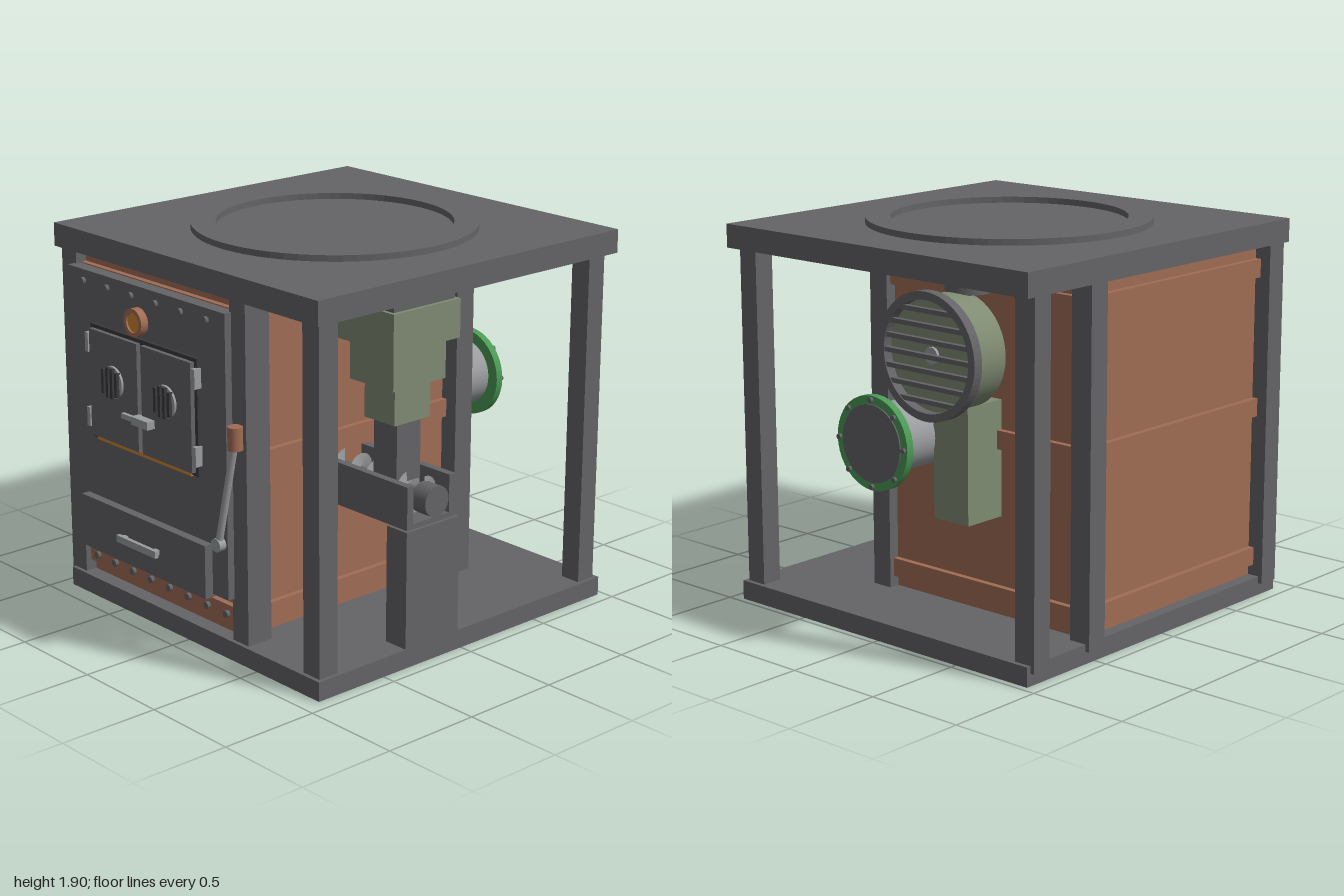
import * as THREE from 'three';

const mat = (name, color, side = THREE.FrontSide) => {
  const m = new THREE.MeshStandardMaterial({ color, side });
  m.name = name;
  return m;
};

export function createModel() {
  const root = new THREE.Group();
  root.name = 'furnace';
  const iron = mat('iron grey', 0x646467);
  const dark = mat('dark iron', 0x3a3a3c);
  const steel = mat('pale steel', 0x9c9da0, THREE.DoubleSide);
  const copper = mat('copper brown', 0xa06c54);
  const sage = mat('sage green', 0x7f8b72);
  const green = mat('bright green', 0x4b9a56);
  const amber = mat('amber', 0xcc8430);

  const add = (name, geo, m, x = 0, y = 0, z = 0) => {
    const mesh = new THREE.Mesh(geo, m);
    mesh.name = name;
    mesh.position.set(x, y, z);
    root.add(mesh);
    return mesh;
  };
  // Box given by its limits on each axis
  const box = (name, m, x0, x1, y0, y1, z0, z1) =>
    add(name, new THREE.BoxGeometry(x1 - x0, y1 - y0, z1 - z0), m, (x0 + x1) / 2, (y0 + y1) / 2, (z0 + z1) / 2);
  // Cylinder lying along z, between z0 and z1
  const discZ = (name, m, r, x, y, z0, z1, n = 32) =>
    add(name, new THREE.CylinderGeometry(r, r, z1 - z0, n).rotateX(Math.PI / 2), m, x, y, (z0 + z1) / 2);
  const discY = (name, m, r, x, y0, y1, z, n = 32) =>
    add(name, new THREE.CylinderGeometry(r, r, y1 - y0, n), m, x, (y0 + y1) / 2, z);
  // Flat ring with depth along z
  const ring = (outer, inner, depth) => {
    const s = new THREE.Shape().absarc(0, 0, outer, 0, Math.PI * 2, false);
    s.holes.push(new THREE.Path().absarc(0, 0, inner, 0, Math.PI * 2, true));
    return new THREE.ExtrudeGeometry(s, { depth, bevelEnabled: false, curveSegments: 32 });
  };

  // Frame
  box('basePlate', iron, -0.933, 0.933, 0, 0.095, -0.968, 0.9);
  box('topPlate', iron, -0.954, 0.954, 1.76, 1.875, -0.99, 0.922);
  add('topRing', ring(0.69, 0.57, 0.03).rotateX(-Math.PI / 2), iron, 0, 1.875, -0.038);
  for (const [x0, x1, z0, z1] of [
    [-0.954, -0.84, 0.77, 0.88], [0.31, 0.42, 0.74, 0.88], [0.805, 0.913, 0.77, 0.88],
    [-0.954, -0.84, -0.565, -0.455], [0.31, 0.42, -0.565, -0.455],
    [-0.954, -0.84, -0.945, -0.84], [0.805, 0.913, -0.945, -0.84],
  ]) box('post', iron, x0, x1, 0.06, 1.765, z0, z1);

  // Boiler body with raised bands
  box('body', copper, -0.87, 0.325, 0.095, 1.74, -0.51, 0.82);
  for (const y of [0.195, 0.955, 1.645]) box('band', copper, -0.9, 0.355, y - 0.045, y + 0.045, -0.54, 0.85);
  const rivet = (x, y, z) => discZ('rivet', iron, 0.018, x, y, z, z + 0.018, 12);
  for (let i = 0; i < 8; i++) rivet(-0.77 + i * 0.1437, 0.195, 0.85);

  // Front panel, gauge and ash drawer
  box('frontPanel', iron, -0.857, 0.323, 0.305, 1.685, 0.85, 0.917);
  for (let i = 0; i < 6; i++) rivet(-0.73 + i * 0.185, 1.63, 0.917);
  add('gaugeRim', ring(0.068, 0.048, 0.04), copper, -0.267, 1.53, 0.945);
  discZ('gaugeFace', amber, 0.05, -0.267, 1.53, 0.945, 0.975);
  discZ('gaugeStem', copper, 0.025, -0.267, 1.53, 0.91, 0.95, 16);
  box('ashDrawer', iron, -0.744, 0.21, 0.29, 0.555, 0.88, 0.962);
  box('drawerHandle', steel, -0.42, -0.118, 0.405, 0.44, 0.98, 1);
  for (const x of [-0.39, -0.148]) box('handleMount', steel, x - 0.015, x + 0.015, 0.41, 0.435, 0.96, 0.982);

  // Fire doors
  box('doorFrame', dark, -0.67, 0.138, 0.867, 1.436, 0.91, 0.932);
  box('fireGlow', amber, -0.63, 0.09, 0.86, 0.882, 0.912, 0.937);
  for (const s of [-1, 1]) {
    const cx = -0.267 + s * 0.2;
    box('fireDoor', iron, cx - 0.185, cx + 0.185, 0.885, 1.418, 0.925, 0.955);
    for (const y of [0.97, 1.345]) {
      const hx = -0.267 + s * 0.405;
      box('hinge', steel, hx - 0.012, hx + 0.012, y - 0.048, y + 0.048, 0.915, 0.957);
    }
    discZ('ventDisc', steel, 0.08, cx, 1.19, 0.95, 0.967);
    for (let i = 0; i < 4; i++) {
      const h = i % 3 ? 0.075 : 0.06, bx = cx + (i - 1.5) * 0.034;
      box('ventBar', dark, bx - 0.009, bx + 0.009, 1.19 - h, 1.19 + h, 0.96, 0.983);
    }
  }
  box('latchBar', steel, -0.375, -0.155, 1.04, 1.065, 0.965, 0.985);
  box('latchCatch', steel, -0.28, -0.155, 1.035, 1.075, 0.95, 1);

  // Lever
  const a = new THREE.Vector3(0.28, 0.577, 0.935), b = new THREE.Vector3(0.378, 1.08, 0.915);
  add('leverRod', new THREE.TubeGeometry(new THREE.LineCurve3(a, b), 1, 0.018, 12), steel);
  discZ('leverPivot', steel, 0.033, 0.28, 0.577, 0.91, 0.955, 20);
  discY('leverGrip', copper, 0.036, 0.381, 1.06, 1.17, 0.912, 16);

  // Fuel hopper of stepped boxes
  const hx = 0.687, hz = 0.195;
  for (const [name, m, w, d, y0, y1] of [
    ['hopperLip', iron, 0.17, 0.19, 1.7, 1.728], ['hopperTop', sage, 0.19, 0.209, 1.515, 1.7],
    ['hopperMiddle', sage, 0.144, 0.165, 1.32, 1.515], ['hopperBottom', sage, 0.1, 0.113, 1.135, 1.32],
    ['hopperChute', iron, 0.077, 0.075, 0.84, 1.135],
  ]) box(name, m, hx - w, hx + w, y0, y1, hz - d, hz + d);

  // Feed trough with screw, motor and pedestal
  box('troughFloor', iron, 0.32, 0.92, 0.675, 0.7, 0.045, 0.35);
  for (const z of [0.045, 0.312]) box('troughSide', iron, 0.32, 0.92, 0.68, 0.885, z, z + 0.038);
  box('pedestal', iron, 0.8, 0.932, 0.09, 0.672, 0.025, 0.363);
  const discX = (name, r, x0, x1) =>
    add(name, new THREE.CylinderGeometry(r, r, x1 - x0, 24).rotateZ(Math.PI / 2), iron, (x0 + x1) / 2, 0.79, hz);
  discX('screwShaft', 0.035, 0.32, 0.9);
  discX('motor', 0.075, 0.86, 0.954);
  const flight = new THREE.PlaneGeometry(1, 1, 96, 1);
  const p = flight.attributes.position;
  for (let i = 0; i < p.count; i++) {
    const t = p.getX(i) + 0.5, r = p.getY(i) > 0 ? 0.1 : 0.03, ang = t * Math.PI * 10;
    p.setXYZ(i, 0.33 + t * 0.54, 0.79 + Math.cos(ang) * r, hz + Math.sin(ang) * r);
  }
  flight.computeVertexNormals();
  add('screwFlight', flight, steel);

  // Blower with grille, duct and flue on the back
  const fx = -0.262, fy = 1.39;
  discZ('blowerHousing', sage, 0.27, fx, fy, -0.85, -0.66, 48);
  add('grilleRing', ring(0.3, 0.262, 0.05), iron, fx, fy, -0.9);
  for (let i = -3; i <= 3; i++) {
    const y = i * 0.07, w = Math.sqrt(0.275 ** 2 - y * y);
    box('grilleBar', iron, fx - w, fx + w, fy + y - 0.011, fy + y + 0.011, -0.895, -0.87);
  }
  discZ('blowerHub', steel, 0.04, fx, fy, -0.865, -0.845, 20);
  box('blowerDuct', sage, -0.37, -0.155, 0.58, 1.142, -0.738, -0.5);
  discY('flue', iron, 0.11, fx, 1.65, 1.765, -0.61);

  // Outlet pipe with bolted flange and valve
  discZ('outletPipe', steel, 0.165, 0, 0.965, -0.95, -0.5, 40);
  discZ('flange', green, 0.225, 0, 0.96, -0.985, -0.945, 40);
  discZ('flangeCover', iron, 0.185, 0, 0.96, -0.992, -0.98, 40);
  for (let i = 0; i < 8; i++) {
    const t = i * Math.PI / 4;
    discZ('flangeBolt', iron, 0.013, Math.cos(t) * 0.206, 0.96 + Math.sin(t) * 0.206, -1, -0.98, 10);
  }
  discY('valveBase', copper, 0.064, 0, 1.11, 1.155, -0.722, 24);
  discY('valveStem', copper, 0.013, 0, 1.15, 1.2, -0.722, 12);
  return root;
}
